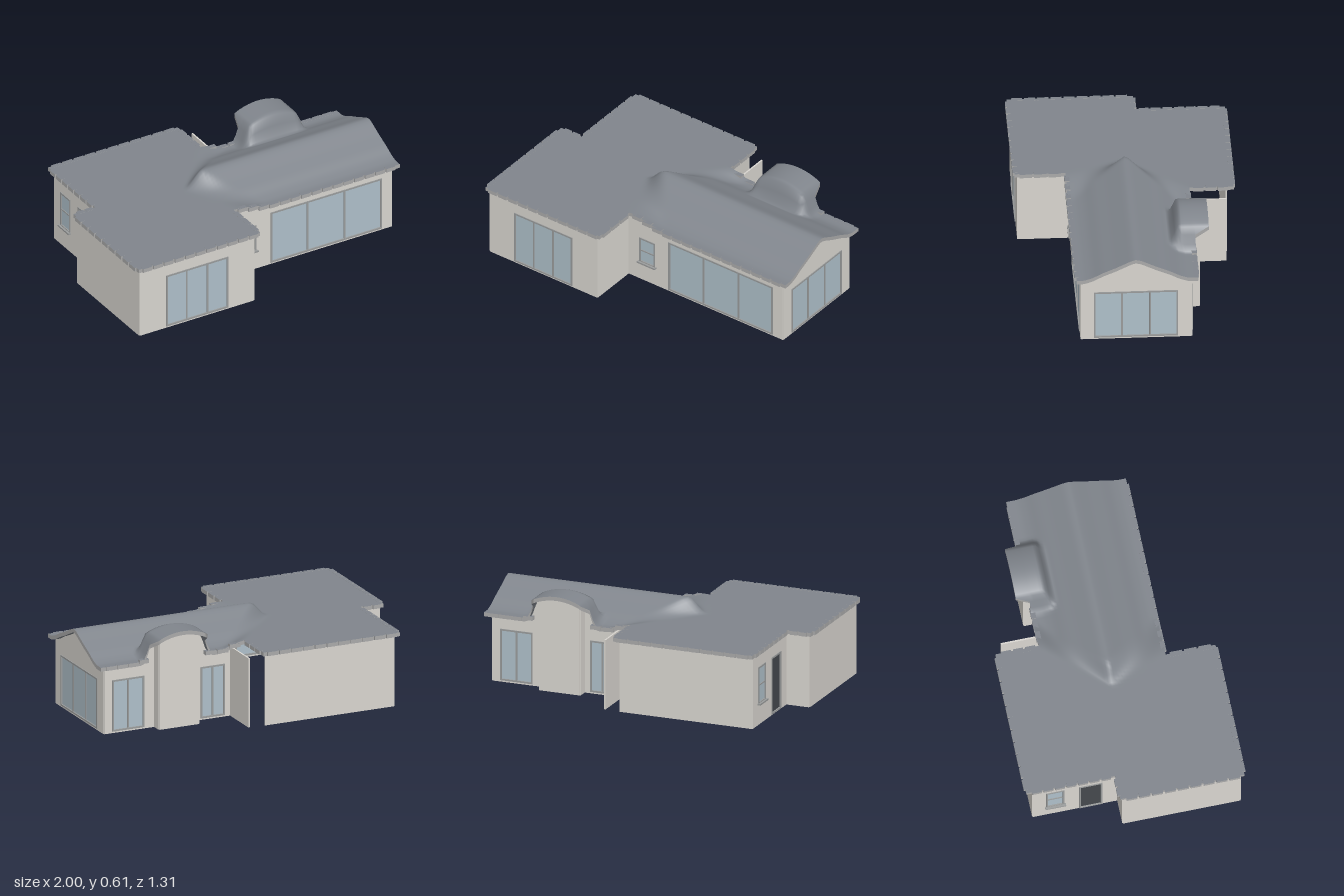
import * as THREE from 'three';

const mat = (color) => new THREE.MeshStandardMaterial({ color, side: THREE.DoubleSide });
const wallMat = mat(0xd9d6d0), roofMat = mat(0x80858c), trimMat = mat(0xaaaaaa);
const frameMat = mat(0x9a9c9c), glassMat = mat(0xafc0ca), doorMat = mat(0x45494e);

const FLAT = 0.47, SLAB = 0.024;
const { smoothstep, clamp, lerp } = THREE.MathUtils;

// Gable profile: distance from ridge -> height
const PROFILE = [[0, 0.565], [0.03, 0.556], [0.12, 0.512], [0.2, 0.478], [0.26, 0.446], [0.31, 0.43], [0.5, 0.43]];
function gable(d) {
  const i = Math.max(1, PROFILE.findIndex((p) => p[0] >= d));
  const [a, b] = [PROFILE[i - 1], PROFILE[i]];
  return lerp(a[1], b[1], clamp((d - a[0]) / (b[0] - a[0]), 0, 1));
}

// Roof surface: flat area blending into the gabled wing, with an arched bay at the back
function roofHeight(x, z) {
  const d = Math.min(Math.abs(z + 0.015), 0.45), t = Math.min(d / 0.36, 1);
  const back = z < 0;
  const start = lerp(-0.28, back ? 0.04 : -0.14, t);
  const end = lerp(-0.16, back ? 0.24 : 0.13, t);
  let h = lerp(FLAT, gable(d), smoothstep(x, start, end));
  const off = Math.abs(x - 0.5);
  const bay = (1 - smoothstep(off, 0.155, 0.23)) * smoothstep(-z, 0.23, 0.29);
  return lerp(h, 0.612 - 1.5 * Math.min(off, 0.2) ** 2, bay);
}

function add(parent, name, geometry, material, x = 0, y = 0, z = 0) {
  const m = new THREE.Mesh(geometry, material);
  m.name = name;
  m.position.set(x, y, z);
  parent.add(m);
  return m;
}

function rectPath(Type, u0, u1, y0, y1) {
  return new Type([[u0, y0], [u1, y0], [u1, y1], [u0, y1]].map((p) => new THREE.Vector2(...p)));
}

// Framed window or door inside a wall, local u along the wall
function addOpening(wall, { u0, u1, y0, y1, panes = 1, bar, door, sill }) {
  const g = new THREE.Group();
  g.name = door ? 'door' : 'window';
  wall.add(g);
  const f = 0.01, cu = (u0 + u1) / 2, cy = (y0 + y1) / 2;
  const frame = rectPath(THREE.Shape, u0, u1, y0, y1);
  frame.holes.push(rectPath(THREE.Path, u0 + f, u1 - f, y0 + f, y1 - f));
  add(g, 'frame', new THREE.ExtrudeGeometry(frame, { depth: 0.02, bevelEnabled: false }), frameMat, 0, 0, -0.01);
  add(g, door ? 'doorPanel' : 'glass', new THREE.BoxGeometry(u1 - u0 - f, y1 - y0 - f, 0.004), door ? doorMat : glassMat, cu, cy, 0);
  for (let i = 1; i < panes; i++) {
    add(g, 'mullion', new THREE.BoxGeometry(0.01, y1 - y0 - f, 0.014), frameMat, lerp(u0, u1, i / panes), cy, 0);
  }
  if (bar) add(g, 'crossbar', new THREE.BoxGeometry(u1 - u0 - f, 0.008, 0.014), frameMat, cu, bar, 0);
  if (sill) add(g, 'sill', new THREE.BoxGeometry(u1 - u0 + 0.016, 0.01, 0.03), frameMat, cu, y0, 0.008);
}

// Thin wall from one ground point to another, its top following the roof
function addWall(parent, name, [x0, z0], [x1, z1], openings = []) {
  const len = Math.hypot(x1 - x0, z1 - z0), n = 24;
  const g = new THREE.Group();
  g.name = name;
  g.position.set(x0, 0, z0);
  g.rotation.y = Math.atan2(z0 - z1, x1 - x0);
  parent.add(g);
  const shape = new THREE.Shape();
  shape.moveTo(0, 0);
  shape.lineTo(len, 0);
  for (let i = n; i >= 0; i--) {
    shape.lineTo(len * i / n, roofHeight(lerp(x0, x1, i / n), lerp(z0, z1, i / n)) - SLAB + 0.002);
  }
  for (const o of openings) shape.holes.push(rectPath(THREE.Path, o.u0, o.u1, o.y0, o.y1));
  add(g, 'wallPanel', new THREE.ExtrudeGeometry(shape, { depth: 0.01, bevelEnabled: false }), wallMat, 0, 0, -0.005);
  for (const o of openings) addOpening(g, o);
}

// Sheet through a grid of points
function sheet(rows, flip) {
  const w = rows[0].length, index = [];
  for (let i = 0; i < rows.length - 1; i++) {
    for (let j = 0; j < w - 1; j++) {
      const a = i * w + j, b = a + 1, c = a + w, d = c + 1;
      index.push(...(flip ? [a, c, b, b, c, d] : [a, b, c, b, d, c]));
    }
  }
  const geo = new THREE.BufferGeometry();
  geo.setAttribute('position', new THREE.Float32BufferAttribute(rows.flat(2), 3));
  geo.setIndex(index);
  geo.computeVertexNormals();
  return geo;
}

function addWingRoof(parent) {
  const g = new THREE.Group();
  g.name = 'wingRoof';
  parent.add(g);
  const nx = 65, nz = 38, top = [];
  for (let i = 0; i <= nx; i++) {
    const x = -0.3 + 1.3 * i / nx;
    const backEdge = Math.abs(x - 0.5) < 0.165 ? -0.465 : -0.385;
    const column = [];
    for (let j = 0; j <= nz; j++) {
      const z = j === 0 ? backEdge : -0.38 + 0.72 * (j - 1) / (nz - 1);
      column.push([x, roofHeight(x, z), z]);
    }
    top.push(column);
  }
  const lower = (line) => line.map(([x, y, z]) => [x, y - SLAB, z]);
  add(g, 'roofTop', sheet(top, false), roofMat);
  add(g, 'roofUnderside', sheet(top.map(lower), true), roofMat);
  const backLine = top.map((c) => c[0]), frontLine = top.map((c) => c[nz]);
  add(g, 'frontFascia', sheet([lower(frontLine), frontLine], false), trimMat);
  add(g, 'backFascia', sheet([backLine, lower(backLine)], false), trimMat);
  add(g, 'gableFascia', sheet([top[nx], lower(top[nx])], false), trimMat);
}

// Row of short edge tiles with narrow gaps
function addEdgeTiles(parent, [x0, z0], [x1, z1]) {
  const len = Math.hypot(x1 - x0, z1 - z0), n = Math.max(1, Math.round(len / 0.075));
  const mats = [trimMat, trimMat, roofMat, roofMat, trimMat, trimMat];
  for (let i = 0; i < n; i++) {
    const t = (i + 0.5) / n, x = lerp(x0, x1, t), z = lerp(z0, z1, t);
    const tile = add(parent, 'edgeTile', new THREE.BoxGeometry(len / n - 0.012, SLAB, 0.03), mats, x, roofHeight(x, z) - SLAB / 2 + 0.001, z);
    tile.rotation.y = Math.atan2(z0 - z1, x1 - x0);
  }
}

export function createModel() {
  const house = new THREE.Group();
  house.name = 'house';

  // Walls, listed so that each one's outside faces outward
  const walls = new THREE.Group();
  walls.name = 'walls';
  house.add(walls);
  addWall(walls, 'blockFrontWall', [-0.97, 0.62], [-0.18, 0.62], [{ u0: 0.18, u1: 0.61, y0: 0.01, y1: 0.36, panes: 3 }]);
  addWall(walls, 'blockInnerWall', [-0.18, 0.62], [-0.18, 0.31]);
  addWall(walls, 'wingFrontWall', [-0.18, 0.31], [0.96, 0.31], [
    { u0: 0.085, u1: 0.2, y0: 0.125, y1: 0.3, bar: 0.21, sill: true },
    { u0: 0.3, u1: 1.07, y0: 0.01, y1: 0.355, panes: 3 },
  ]);
  addWall(walls, 'gableWall', [0.96, 0.31], [0.96, -0.345], [{ u0: 0.075, u1: 0.575, y0: 0.01, y1: 0.325, panes: 3 }]);
  addWall(walls, 'wingBackWall', [0.96, -0.345], [0.63, -0.345], [{ u0: 0.05, u1: 0.26, y0: 0.01, y1: 0.33, panes: 2 }]);
  addWall(walls, 'baySideWall', [0.63, -0.345], [0.63, -0.41]);
  addWall(walls, 'bayBackWall', [0.63, -0.41], [0.37, -0.41]);
  addWall(walls, 'baySideWall', [0.37, -0.41], [0.37, -0.345]);
  addWall(walls, 'wingBackWall', [0.37, -0.345], [0.13, -0.345], [{ u0: 0.04, u1: 0.2, y0: 0.01, y1: 0.33, panes: 2 }]);
  addWall(walls, 'screenWall', [0.13, -0.345], [0.13, -0.6]);
  addWall(walls, 'blockBackWall', [0.03, -0.605], [-0.82, -0.605]);
  addWall(walls, 'entranceWall', [-0.82, -0.605], [-0.82, -0.09], [
    { u0: 0.08, u1: 0.19, y0: 0.13, y1: 0.36, bar: 0.245, sill: true },
    { u0: 0.28, u1: 0.42, y0: 0.005, y1: 0.36, door: true },
  ]);
  addWall(walls, 'entranceReturnWall', [-0.82, -0.09], [-0.97, -0.09]);
  addWall(walls, 'blockSideWall', [-0.97, -0.09], [-0.97, 0.62]);

  // Flat roof slab, leaving room for the wing roof
  const outline = [[-0.988, -0.11], [-0.838, -0.11], [-0.838, -0.648], [0.058, -0.648], [0.058, -0.38], [-0.3, -0.38],
    [-0.3, 0.34], [-0.15, 0.34], [-0.15, 0.642], [-0.988, 0.642]];
  const slab = new THREE.ExtrudeGeometry(new THREE.Shape(outline.map(([x, z]) => new THREE.Vector2(x, -z))), { depth: SLAB, bevelEnabled: false });
  slab.rotateX(-Math.PI / 2);
  add(house, 'flatRoof', slab, [roofMat, trimMat], 0, FLAT - SLAB, 0);

  addWingRoof(house);

  // Tiled eaves
  const eaves = new THREE.Group();
  eaves.name = 'eaves';
  house.add(eaves);
  const edges = [
    [[-0.97, 0.638], [-0.16, 0.638]], [[-0.155, 0.62], [-0.155, 0.36]], [[-0.13, 0.335], [0.97, 0.335]],
    [[0.97, -0.375], [0.68, -0.375]], [[0.32, -0.375], [0.08, -0.375]], [[0.052, -0.4], [0.052, -0.62]],
    [[0.04, -0.643], [-0.82, -0.643]], [[-0.833, -0.62], [-0.833, -0.13]], [[-0.85, -0.107], [-0.97, -0.107]],
    [[-0.985, -0.08], [-0.985, 0.62]],
  ];
  for (const [a, b] of edges) addEdgeTiles(eaves, a, b);
  return house;
}
